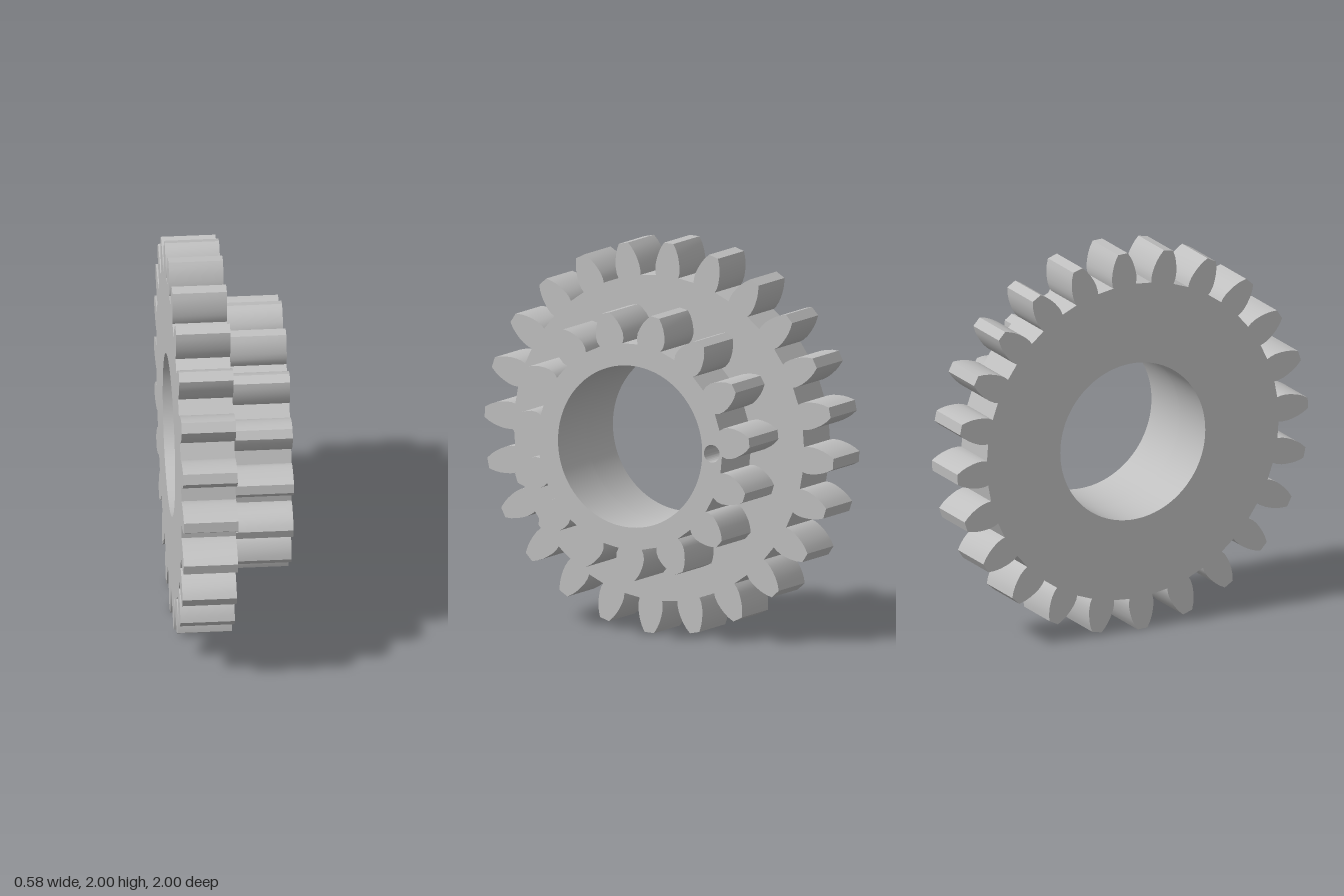
import * as THREE from 'three';
import { toCreasedNormals } from 'three/addons/utils/BufferGeometryUtils.js';

const BORE = 0.413;

// Half of a tooth from root to tip: [radius along the tooth, half width]
const LARGE_TOOTH = [[0.828, 0.064], [0.85, 0.069], [0.88, 0.069], [0.91, 0.064], [0.94, 0.056], [0.97, 0.044], [0.999, 0.027]];
const SMALL_TOOTH = [[0.522, 0.066], [0.545, 0.077], [0.575, 0.079], [0.605, 0.072], [0.635, 0.06], [0.662, 0.044], [0.685, 0.024]];

// Gear outline: one tooth profile, mirrored and repeated around the centre
function gearShape(teeth, halfTooth, startAngle) {
  const tooth = [
    ...halfTooth.map(([r, w]) => [r, -w]),
    ...halfTooth.slice().reverse().map(([r, w]) => [r, w]),
  ];
  const points = [];
  for (let i = 0; i < teeth; i++) {
    const a = startAngle + (i / teeth) * Math.PI * 2;
    for (const [r, w] of tooth) {
      points.push(new THREE.Vector2(r * Math.cos(a) - w * Math.sin(a), r * Math.sin(a) + w * Math.cos(a)));
    }
  }
  return new THREE.Shape(points);
}

function addHole(shape, x, y, radius) {
  const hole = new THREE.Path();
  hole.absarc(x, y, radius, 0, Math.PI * 2, true);
  shape.holes.push(hole);
}

// Extrude along the axle, which runs along x
function gearMesh(name, shape, x0, x1, material) {
  let geometry = new THREE.ExtrudeGeometry(shape, { depth: x1 - x0, bevelEnabled: false, curveSegments: 72 });
  geometry = toCreasedNormals(geometry, THREE.MathUtils.degToRad(28));
  geometry.rotateY(Math.PI / 2);
  const mesh = new THREE.Mesh(geometry, material);
  mesh.name = name;
  mesh.position.set(x0, 1, 0);
  return mesh;
}

export function createModel() {
  const group = new THREE.Group();
  group.name = 'doubleGear';
  const steel = new THREE.MeshStandardMaterial({ color: 0xbfbfbf });
  steel.name = 'grey steel';
  const rad = THREE.MathUtils.degToRad;

  // Wide gear with 24 teeth
  const large = gearShape(24, LARGE_TOOTH, rad(86.8));
  addHole(large, 0, 0, BORE);
  group.add(gearMesh('largeGear', large, -0.29, -0.015, steel));

  // Small gear with 15 teeth and a pin hole closed off by the large gear
  const small = gearShape(15, SMALL_TOOTH, rad(-90));
  addHole(small, 0, 0, BORE);
  addHole(small, 0.468, 0, 0.045);
  group.add(gearMesh('smallGear', small, -0.015, 0.29, steel));

  return group;
}
